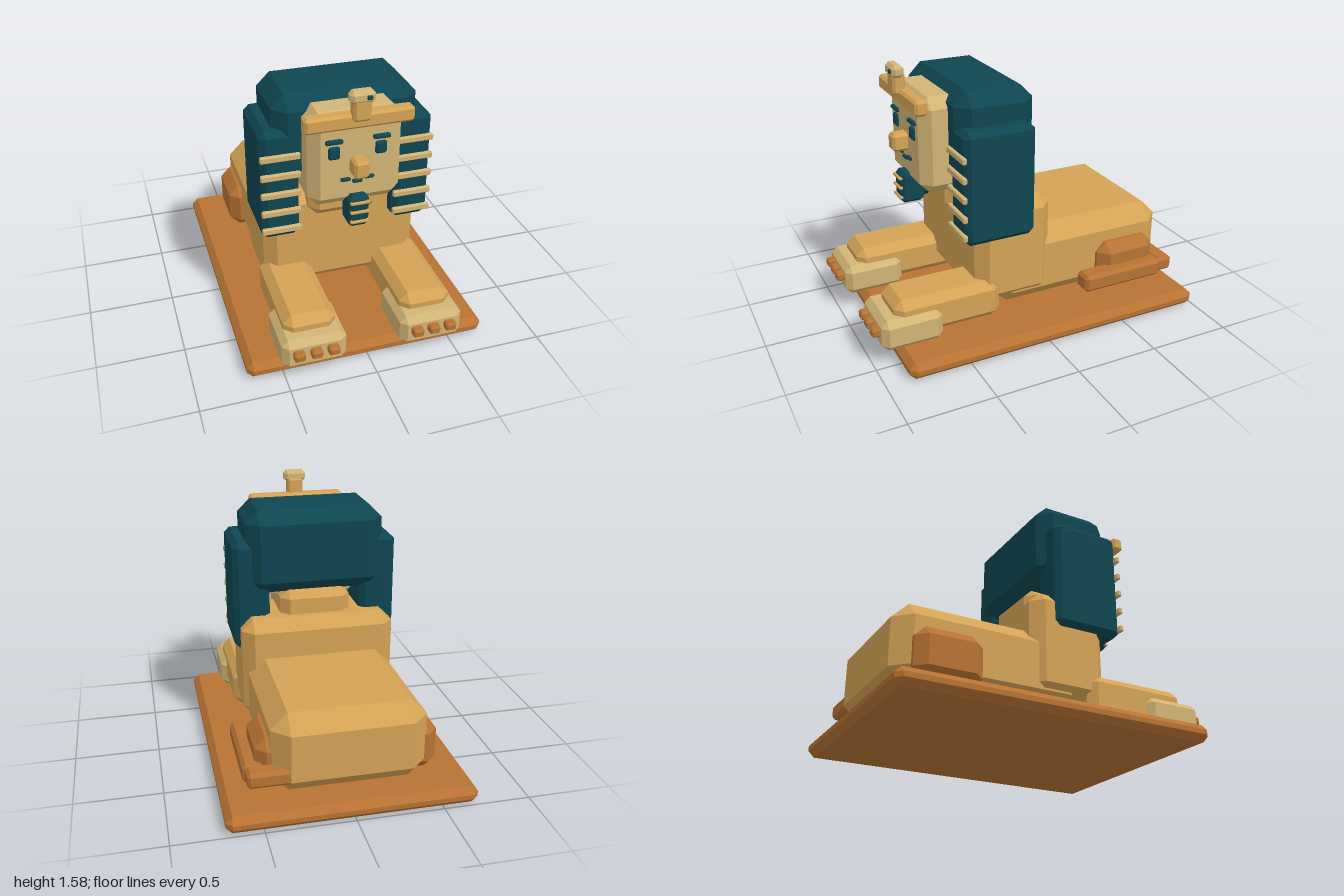
import * as THREE from 'three';
import { ConvexGeometry } from 'three/addons/geometries/ConvexGeometry.js';

const mat = (name, color) => new THREE.MeshStandardMaterial({ name, color });

// Box between two corners with all twelve edges chamfered by b
function chamferBox([x0, x1], [y0, y1], [z0, z1], b) {
  const h = [(x1 - x0) / 2, (y1 - y0) / 2, (z1 - z0) / 2];
  const points = [];
  for (const sx of [-1, 1]) for (const sy of [-1, 1]) for (const sz of [-1, 1]) {
    for (let flush = 0; flush < 3; flush++) {
      const p = h.map((v, i) => (i === flush ? v : v - b));
      points.push(new THREE.Vector3(p[0] * sx, p[1] * sy, p[2] * sz));
    }
  }
  const geometry = new ConvexGeometry(points);
  geometry.translate((x0 + x1) / 2, (y0 + y1) / 2, (z0 + z1) / 2);
  return geometry;
}

export function createModel() {
  const model = new THREE.Group();
  model.name = 'sphinx';
  const gold = mat('gold sandstone', 0xd4a355);
  const tan = mat('pale sandstone', 0xd2b576);
  const teal = mat('dark teal', 0x0f4651);
  const brown = mat('copper brown', 0xb87333);

  const add = (name, material, x, y, z, b) => {
    const mesh = new THREE.Mesh(chamferBox(x, y, z, b), material);
    mesh.name = name;
    model.add(mesh);
  };
  // Left part at +x and its mirrored twin at -x
  const pair = (name, material, [x0, x1], y, z, b) => {
    add('left' + name, material, [x0, x1], y, z, b);
    add('right' + name, material, [-x1, -x0], y, z, b);
  };

  // Plinth and torso
  add('plinth', brown, [-0.705, 0.705], [0, 0.1], [-1, 0.865], 0.036);
  add('body', gold, [-0.437, 0.437], [0.13, 0.6], [-0.915, 0.22], 0.097);
  add('chest', gold, [-0.465, 0.465], [0.2, 0.83], [-0.12, 0.355], 0.068);
  add('neck', gold, [-0.215, 0.215], [0.7, 0.98], [-0.015, 0.43], 0.055);

  // Limbs
  pair('Haunch', brown, [0.36, 0.515], [0.145, 0.435], [-0.825, -0.435], 0.06);
  pair('Foreleg', gold, [0.19, 0.49], [0.13, 0.365], [0.22, 0.865], 0.048);
  pair('Paw', tan, [0.158, 0.525], [0.1, 0.285], [0.595, 0.955], 0.036);
  for (const x of [0.245, 0.342, 0.439]) {
    pair('Toe', brown, [x - 0.031, x + 0.031], [0.185, 0.236], [0.93, 1], 0.01);
  }

  // Tail wrapping round the left flank
  add('tailRoot', brown, [0.3, 0.575], [0.21, 0.3], [-0.91, -0.8], 0.018);
  add('tail', brown, [0.47, 0.588], [0.195, 0.302], [-0.82, -0.285], 0.02);

  // Headdress with striped lappets
  add('headdress', teal, [-0.415, 0.415], [0.965, 1.47], [-0.035, 0.44], 0.077);
  pair('Lappet', teal, [0.277, 0.497], [0.617, 1.287], [0.01, 0.44], 0.034);
  for (let i = 0; i < 5; i++) {
    const y = 1.138 - i * 0.1145;
    pair('LappetStripe', tan, [0.274, 0.5], [y - 0.019, y + 0.019], [0.432, 0.46], 0.006);
  }

  // Head and face
  add('head', tan, [-0.265, 0.265], [0.865, 1.425], [0.1, 0.595], 0.06);
  pair('Brow', teal, [0.084, 0.182], [1.26, 1.285], [0.588, 0.615], 0.007);
  pair('Eye', teal, [0.099, 0.164], [1.168, 1.243], [0.585, 0.611], 0.01);
  add('nose', gold, [-0.043, 0.043], [1.07, 1.175], [0.57, 0.685], 0.016);
  add('mouth', teal, [-0.028, 0.028], [1.01, 1.031], [0.588, 0.611], 0.006);
  pair('MouthCorner', teal, [0.039, 0.095], [1.027, 1.047], [0.588, 0.611], 0.006);

  // Beard with bands
  add('beard', teal, [-0.058, 0.058], [0.752, 0.942], [0.51, 0.65], 0.02);
  for (const y of [0.79, 0.85, 0.908]) {
    add('beardBand', gold, [-0.054, 0.054], [y - 0.008, y + 0.008], [0.64, 0.663], 0.004);
  }

  // Crown band with a small serpent
  add('crownBand', gold, [-0.303, 0.303], [1.35, 1.438], [0.565, 0.64], 0.015);
  add('serpentNeck', gold, [-0.05, 0.05], [1.402, 1.53], [0.595, 0.67], 0.015);
  add('serpentHead', tan, [-0.069, 0.069], [1.503, 1.576], [0.605, 0.677], 0.02);
  add('serpentEye', teal, [0.016, 0.048], [1.528, 1.553], [0.667, 0.685], 0.005);
  return model;
}
